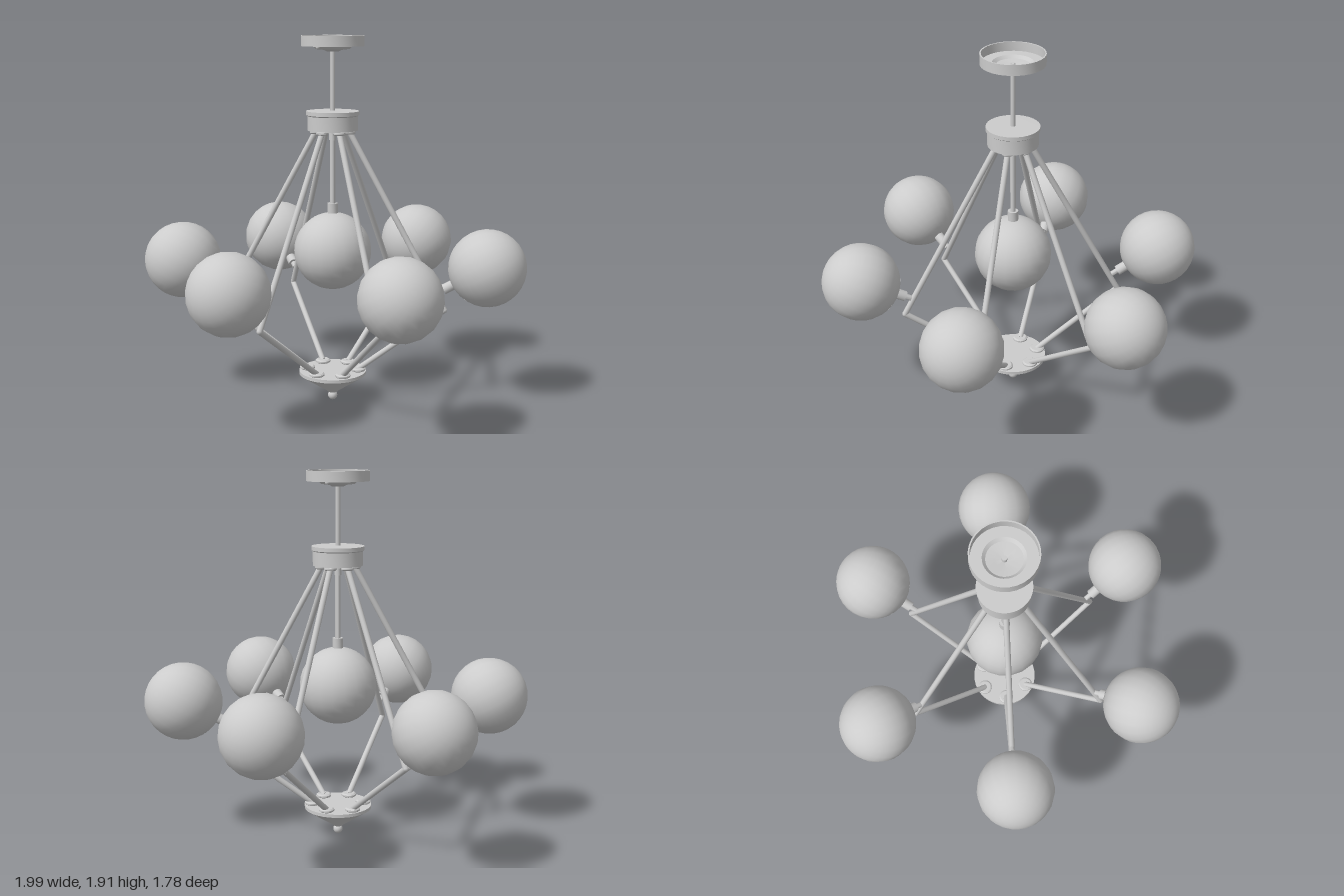
import * as THREE from 'three';
import { toCreasedNormals } from 'three/addons/utils/BufferGeometryUtils.js';

const material = new THREE.MeshStandardMaterial({ color: 0xcccccc, side: THREE.DoubleSide });
const UP = new THREE.Vector3(0, 1, 0);

function part(name, geometry, parent) {
  const mesh = new THREE.Mesh(geometry, material);
  mesh.name = name;
  parent.add(mesh);
  return mesh;
}

// Turned part from [radius, y] pairs, listed from bottom to top
function turned(name, profile, parent, sides = 32) {
  const points = profile.map(([r, y]) => new THREE.Vector2(r, y));
  return part(name, toCreasedNormals(new THREE.LatheGeometry(points, sides), 0.6), parent);
}

// Straight round rod between two points
function rod(name, a, b, radius, parent) {
  const dir = b.clone().sub(a);
  const mesh = part(name, new THREE.CylinderGeometry(radius, radius, dir.length(), 12), parent);
  mesh.position.copy(a).addScaledVector(dir, 0.5);
  mesh.quaternion.setFromUnitVectors(UP, dir.normalize());
  return mesh;
}

// Globe lamp centred on its origin, with its stem rising along +y
function lamp(name, stemLength) {
  const group = new THREE.Group();
  group.name = name;
  part('globe', new THREE.SphereGeometry(0.2, 20, 16), group);
  part('globeFitter', new THREE.SphereGeometry(0.2005, 20, 4, 0, Math.PI * 2, 0, Math.PI / 6), group);
  turned('socket', [[0, 0.18], [0.027, 0.18], [0.027, 0.25], [0.014, 0.25], [0.014, stemLength], [0, stemLength]], group, 16);
  return group;
}

export function createModel() {
  const model = new THREE.Group();
  model.name = 'chandelier';

  // Ceiling canopy: open cup with a shallow stepped floor
  turned('canopy', [
    [0.012, 1.83], [0.03, 1.83], [0.045, 1.838], [0.085, 1.843], [0.1, 1.857],
    [0.16, 1.857], [0.16, 1.91], [0.153, 1.91], [0.153, 1.864], [0.1, 1.864],
    [0.085, 1.85], [0.045, 1.845], [0.012, 1.84],
  ], model);
  for (const side of [-1, 1]) {
    part('canopyScrew', new THREE.SphereGeometry(0.01, 10, 8), model).position.set(side * 0.122, 1.853, 0);
  }
  rod('stem', new THREE.Vector3(0, 1.52, 0), new THREE.Vector3(0, 1.86, 0), 0.0125, model);

  // Upper hub with a raised lip
  turned('upperHub', [
    [0, 1.435], [0.128, 1.435], [0.128, 1.508], [0.135, 1.513], [0.135, 1.533], [0, 1.535],
  ], model);

  // Lower dish and finial
  turned('lowerDish', [
    [0, 0.045], [0.025, 0.045], [0.035, 0.055], [0.177, 0.148], [0.177, 0.165], [0, 0.165],
  ], model);
  part('finial', new THREE.SphereGeometry(0.025, 16, 12), model).position.y = 0.025;

  // Central hanging globe
  const centre = lamp('centreLamp', 0.63);
  centre.position.y = 0.81;
  model.add(centre);
  turned('centreCollar', [[0, 1.385], [0.018, 1.385], [0.018, 1.42], [0.03, 1.42], [0.03, 1.437]], model, 16);

  // Six bent arms, each carrying a globe
  const top = new THREE.Vector3(0.085, 1.43, 0);
  const elbow = new THREE.Vector3(0.582, 0.51, 0);
  const foot = new THREE.Vector3(0.135, 0.175, 0);
  const armDir = elbow.clone().sub(top).normalize();
  const stemDir = new THREE.Vector3(armDir.y, -armDir.x, 0);
  for (let i = 0; i < 6; i++) {
    const arm = new THREE.Group();
    arm.name = 'arm';
    arm.rotation.y = (i * Math.PI) / 3;
    rod('upperRod', top, elbow, 0.015, arm);
    rod('lowerRod', elbow, foot, 0.015, arm);
    part('elbow', new THREE.SphereGeometry(0.0152, 12, 8), arm).position.copy(elbow);
    turned('upperBoss', [[0, 1.417], [0.027, 1.417], [0.032, 1.422], [0.032, 1.43], [0.025, 1.437]], arm, 16)
      .position.x = top.x;
    turned('lowerBoss', [[0.03, 0.163], [0.04, 0.17], [0.04, 0.178], [0.032, 0.184], [0, 0.184]], arm, 16)
      .position.x = foot.x;
    const globe = lamp('armLamp', 0.285);
    globe.position.set(0.797, 0.74, 0);
    globe.quaternion.setFromUnitVectors(UP, stemDir);
    arm.add(globe);
    model.add(arm);
  }
  return model;
}
